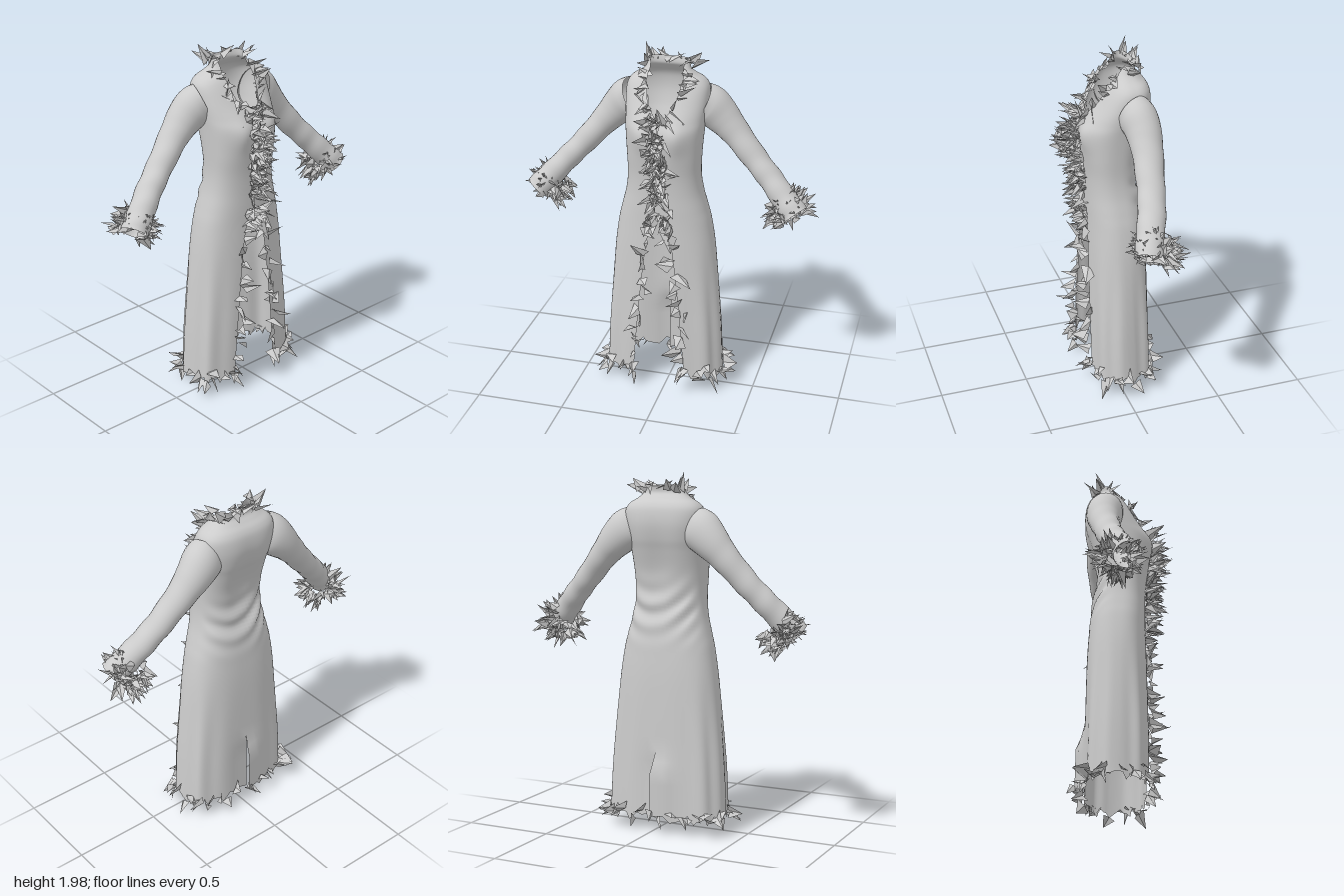
import * as THREE from 'three';
import { mergeVertices } from 'three/addons/utils/BufferGeometryUtils.js';

const CX = -0.03; // the coat's centre line
const V = (x, y, z) => new THREE.Vector3(x, y, z);
let seed = 7;
const rnd = () => (seed = (seed * 16807) % 2147483647) / 2147483647;
const span = (a, b) => a + (b - a) * rnd();
const bump = (d, w) => Math.exp(-(d * d) / (w * w));
const spow = (v, e) => Math.sign(v) * Math.abs(v) ** e;
const { smoothstep, clamp } = THREE.MathUtils;

// Coat rings: height, half width, front z, back z, half front opening
const RINGS = [
  [0.08, 0.338, 0.14, -0.205, 0.15], [0.4, 0.323, 0.14, -0.2, 0.125],
  [0.8, 0.29, 0.135, -0.195, 0.085], [1.0, 0.262, 0.13, -0.185, 0.05],
  [1.1, 0.238, 0.13, -0.175, 0], [1.2, 0.213, 0.13, -0.16, 0],
  [1.3, 0.202, 0.135, -0.145, 0], [1.42, 0.205, 0.15, -0.155, 0],
  [1.55, 0.213, 0.155, -0.19, 0], [1.62, 0.22, 0.125, -0.21, 0.012],
  [1.7, 0.228, 0.08, -0.22, 0.07], [1.77, 0.225, 0.04, -0.213, 0.088],
  [1.81, 0.2, 0.015, -0.195, 0.095], [1.84, 0.152, -0.01, -0.165, 0.098],
  [1.87, 0.122, -0.03, -0.14, 0.09], [1.91, 0.115, -0.055, -0.145, 0.095],
];
// Sleeve sections: x, y, z, half height, half depth
const SLEEVE = [
  [0.185, 1.685, -0.082, 0.112, 0.09], [0.23, 1.66, -0.1, 0.115, 0.1],
  [0.29, 1.605, -0.11, 0.1, 0.094], [0.37, 1.52, -0.105, 0.078, 0.082],
  [0.49, 1.385, -0.08, 0.067, 0.074], [0.59, 1.28, -0.05, 0.066, 0.074],
  [0.68, 1.18, -0.01, 0.07, 0.074], [0.735, 1.12, 0.015, 0.074, 0.076],
];

// Smooth interpolation through table rows, at row position f
function mix(rows, f) {
  const n = rows.length - 1, i = Math.min(n - 1, Math.floor(f)), t = f - i;
  const [a, b, c, d] = [-1, 0, 1, 2].map((k) => rows[clamp(i + k, 0, n)]);
  return b.map((p, k) => {
    const m0 = (c[k] - a[k]) / 2, m1 = (d[k] - p) / 2;
    return p + t * (m0 + t * (3 * (c[k] - p) - 2 * m0 - m1 + t * (2 * (p - c[k]) + m0 + m1)));
  });
}

// Row position for a given height
function rowAt(y) {
  let i = 0;
  while (i < RINGS.length - 2 && RINGS[i + 1][0] < y) i++;
  return i + clamp((y - RINGS[i][0]) / (RINGS[i + 1][0] - RINGS[i][0]), 0, 1);
}

// Point on the coat; s is the side, q runs from front edge (0) to centre back (1)
function coatPoint(f, s, q) {
  let [y, w, zf, zb, gap] = mix(RINGS, f);
  if (f >= 4 && f <= 8) gap = 0;
  const E = 0.8 - 0.15 * smoothstep(1 - y, 0, 0.8); // boxier towards the hem
  const a0 = Math.asin(Math.min(1, Math.max(0, gap) / w) ** (1 / E));
  const vent = smoothstep(0.46 - y, 0, 0.13);
  const a1 = Math.PI + 0.01 * vent; // the vent edges just overlap
  const a = a0 + (a1 - a0) * q, c = Math.cos(a);
  let x = s * w * spow(Math.sin(a), E);
  let z = (zf + zb) / 2 + ((zf - zb) / 2) * spow(c, E);
  const back = smoothstep(-c, 0.1, 0.8);
  z += 0.025 * bump(Math.abs(x) - 0.1, 0.06) * bump(y - 1.54, 0.09) * Math.max(0, c); // chest
  z += (s > 0 ? 0.015 : -0.05) * bump(x, 0.08) * vent * back; // one vent edge stands out
  // draped folds slanting across the back of the waist
  z += back * 0.012 * bump(y - 1.23, 0.12) * Math.sin((y - 3 * x * x + 0.3 * x) * 48);
  z += back * 0.02 * bump(x, 0.08) * bump(y - 1.5, 0.2);
  // long skirt folds
  const fold = 0.01 * Math.sin(a * 9 + s) * smoothstep(1 - y, 0, 0.7) * Math.sin(a);
  x += s * fold * Math.sin(a);
  z += fold * c;
  if (f === 0) y += 0.018 * Math.sin(q * 47 + s) + 0.012 * Math.sin(q * 91); // ragged hem
  return V(CX + x, y, z);
}

// Grid surface from point(i, j); skip(j) leaves out a column of faces
function surface(rows, cols, point, skip = () => false) {
  const pos = [], idx = [];
  for (let i = 0; i <= rows; i++) for (let j = 0; j <= cols; j++) pos.push(...point(i, j).toArray());
  for (let i = 0; i < rows; i++) for (let j = 0; j < cols; j++) {
    if (skip(j)) continue;
    const a = i * (cols + 1) + j, b = a + cols + 1;
    idx.push(a, a + 1, b, a + 1, b + 1, b);
  }
  let g = new THREE.BufferGeometry();
  g.setAttribute('position', new THREE.Float32BufferAttribute(pos, 3));
  g.setIndex(idx);
  g = mergeVertices(g);
  g.computeVertexNormals();
  return g;
}

// Point on a sleeve, with its outward direction and the way along it
function sleevePoint(s, f, ang) {
  const [x, y, z, rh, rd] = mix(SLEEVE, f);
  const p = V(x, y, z);
  const ahead = mix(SLEEVE, Math.min(7, f + 0.2)), behind = mix(SLEEVE, Math.max(0, f - 0.2));
  const t = V(ahead[0] - behind[0], ahead[1] - behind[1], ahead[2] - behind[2]).normalize();
  const up = V(0, 0, 1).cross(t).normalize(), side = t.clone().cross(up);
  const out = up.multiplyScalar(Math.cos(ang)).addScaledVector(side, Math.sin(ang));
  const wrinkle = 1 + 0.03 * Math.sin(f * 7 + 2 * Math.sin(ang)) * smoothstep(f, 2, 4);
  p.addScaledVector(out, Math.hypot(rh * Math.cos(ang), rd * Math.sin(ang)) * wrinkle);
  p.x = CX + s * p.x;
  out.x *= s;
  t.x *= s;
  return { p, out, t };
}

// One creased, pointed tuft added to a list of corners
function tuft(list, base, dir, len, wid) {
  const d = dir.clone().normalize().add(V(span(-0.7, 0.7), span(-0.7, 0.7), span(-0.7, 0.7))).normalize();
  const side = V(span(-1, 1), span(-1, 1), span(-1, 1)).cross(d).normalize();
  const lift = side.clone().cross(d);
  const a = base.clone().addScaledVector(side, wid / 2);
  const b = base.clone().addScaledVector(side, -wid / 2).addScaledVector(d, len * span(0, 0.5));
  const m = base.clone().addScaledVector(lift, wid * 0.25).addScaledVector(d, len * 0.1);
  const tip = base.clone().addScaledVector(d, len);
  for (const v of [a, tip, m, m, tip, b]) list.push(...v.toArray());
}

export function createModel() {
  const group = new THREE.Group();
  const cloth = new THREE.MeshStandardMaterial({ color: 0xcccccc, side: THREE.DoubleSide });
  const fur = new THREE.MeshStandardMaterial({ color: 0xcccccc, side: THREE.DoubleSide, flatShading: true });
  const add = (name, geo, mat) => {
    const m = new THREE.Mesh(geo, mat);
    m.name = name;
    group.add(m);
  };
  const addFur = (name, fill) => {
    const list = [];
    fill((...args) => tuft(list, ...args));
    const g = new THREE.BufferGeometry();
    g.setAttribute('position', new THREE.Float32BufferAttribute(list, 3));
    g.computeVertexNormals();
    add(name, g, fur);
  };

  // Coat body: left half then right half, joined above the back vent
  const H = 40, R = 90;
  add('coatBody', surface(R, 2 * H + 1, (i, j) => {
    const f = (i / R) * (RINGS.length - 1);
    return j <= H ? coatPoint(f, 1, j / H) : coatPoint(f, -1, (2 * H + 1 - j) / H);
  }, (j) => j === H), cloth);

  for (const s of [1, -1]) {
    const side = s > 0 ? 'left' : 'right';
    // Sleeves
    add(side + 'Sleeve', surface(48, 28, (i, j) =>
      sleevePoint(s, (i / 48) * 7, -s * (j / 28) * Math.PI * 2).p), cloth);
    // Cuff fur, thickest below and behind the wrist
    addFur(side + 'CuffFur', (put) => {
      for (let i = 0; i < 110; i++) {
        const { p, out, t } = sleevePoint(s, span(5.8, 7), rnd() * Math.PI * 2);
        p.add(V(-s * 0.025, -0.025, -0.045)).addScaledVector(out, -0.015);
        put(p, out.addScaledVector(t, span(-0.5, 0.4)), span(0.05, 0.125), span(0.04, 0.085));
      }
    });
    // Fur down the open skirt edge
    addFur(side + 'FrontEdgeFur', (put) => {
      for (let i = 0; i < 18; i++) {
        const p = coatPoint(rowAt(0.12 + (i / 18) * 0.98), s, 0);
        put(p, V(span(-0.9, 0.9), span(-0.7, 0.7), 0.7), span(0.07, 0.13), span(0.05, 0.1));
      }
    });
    // Lapel and collar fur
    addFur(side + 'CollarFur', (put) => {
      for (let i = 0; i < 13; i++) {
        const p = coatPoint(rowAt(1.62 + (i / 13) * 0.26), s, 0);
        put(p, V(s * 0.8, span(-0.4, 0.4), 0.4), span(0.05, 0.11), span(0.04, 0.08));
      }
      for (let i = 0; i < 7; i++) {
        const p = coatPoint(15, s, i / 6);
        p.y -= 0.03;
        put(p, V((p.x - CX) * 3, 0.5, (p.z + 0.1) * 8), span(0.06, 0.12), span(0.05, 0.09));
      }
    });
    // Hem fur
    addFur(side + 'HemFur', (put) => {
      for (let i = 0; i < 20; i++) {
        const p = coatPoint(0, s, i / 19);
        p.y += span(0, 0.05);
        put(p, V((p.x - CX) * 1.2, -0.2, p.z * 2.5), span(0.05, 0.11), span(0.05, 0.1));
      }
    });
  }

  // Dense fur down the closed chest front
  addFur('chestFur', (put) => {
    for (let i = 0; i < 150; i++) {
      const y = i < 130 ? span(1.18, 1.64) : span(1.0, 1.18);
      const p = coatPoint(rowAt(y), rnd() < 0.5 ? 1 : -1, rnd() * 0.02);
      p.x += span(-0.03, 0.03);
      put(p, V(span(-0.5, 0.5), span(-0.4, 0.4), 1), span(0.06, 0.15), span(0.04, 0.075));
    }
  });
  return group;
}
